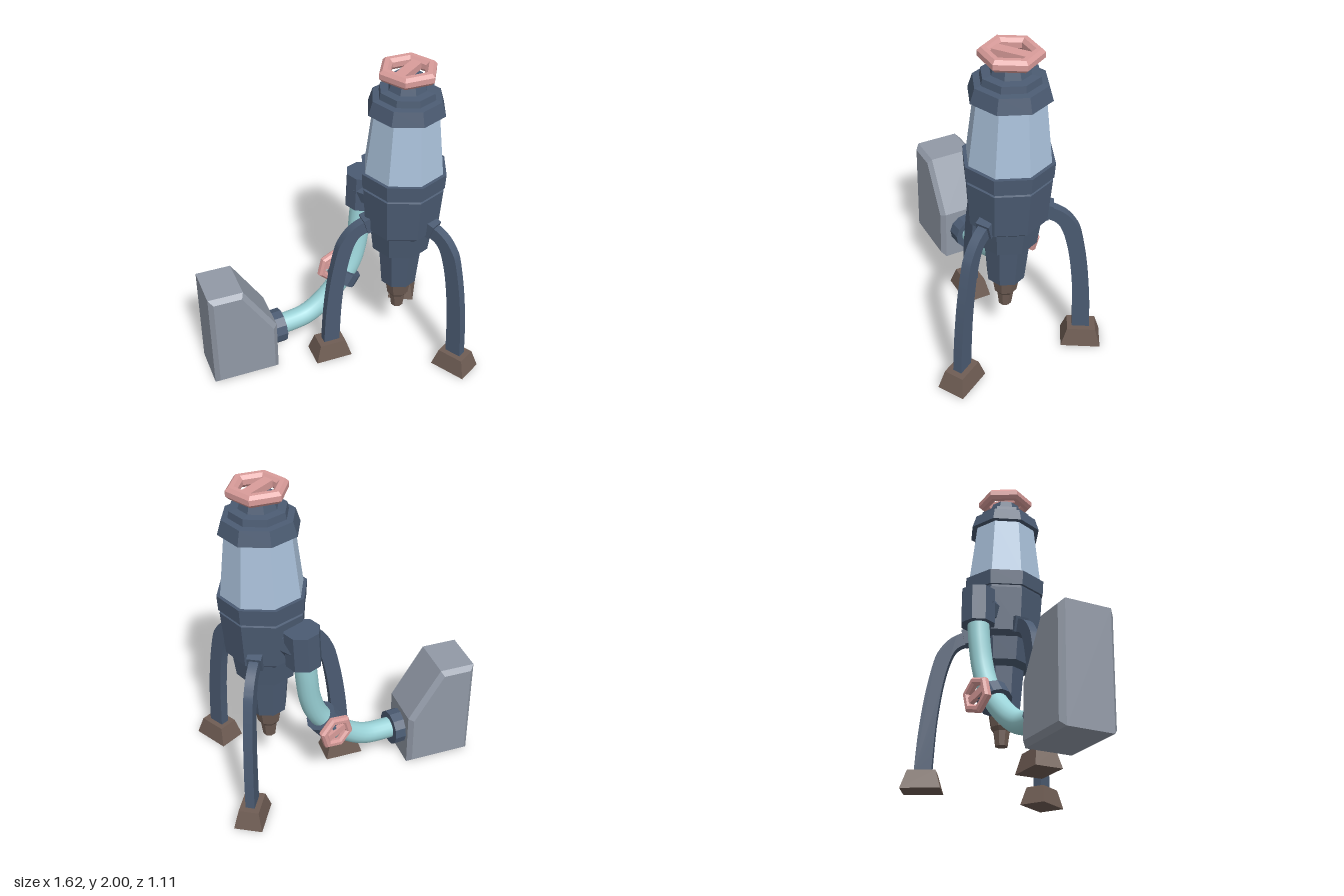
import * as THREE from 'three';

const mat = (name, color) => {
  const m = new THREE.MeshStandardMaterial({ color });
  m.name = name;
  return m;
};
const V = (x, y, z) => new THREE.Vector3(x, y, z);

// Split shared corners so every facet is shaded flat
function flat(geometry) {
  const g = geometry.index ? geometry.toNonIndexed() : geometry;
  g.computeVertexNormals();
  return g;
}

function add(parent, name, geometry, material) {
  const mesh = new THREE.Mesh(geometry, material);
  mesh.name = name;
  parent.add(mesh);
  return mesh;
}

// Faceted solid of revolution from [radius, height] pairs, bottom to top
const turned = (points, sides = 8) =>
  flat(new THREE.LatheGeometry(points.map(([r, y]) => new THREE.Vector2(r, y)), sides));

// Faceted rod between two points
function rod(parent, name, a, b, radius, material, sides = 8) {
  const dir = b.clone().sub(a);
  const mesh = add(parent, name, flat(new THREE.CylinderGeometry(radius, radius, dir.length(), sides)), material);
  mesh.position.copy(a).add(b).multiplyScalar(0.5);
  mesh.quaternion.setFromUnitVectors(V(0, 1, 0), dir.normalize());
  return mesh;
}

// Six-sided handwheel with one crossbar, lying in the XZ plane
function handwheel(name, outer, inner, height, material, barAngle) {
  const group = new THREE.Group();
  group.name = name;
  const h = height / 2, c = height * 0.28;
  const rim = turned([
    [inner + c, -h], [outer - c, -h], [outer, -h + c], [outer, h - c],
    [outer - c, h], [inner + c, h], [inner, h - c], [inner, -h + c], [inner + c, -h],
  ], 6);
  rim.rotateY(Math.PI / 2);
  add(group, 'wheelRim', rim, material);
  const bar = add(group, 'wheelBar', new THREE.BoxGeometry(inner * 2.05, height * 0.6, outer * 0.36), material);
  bar.rotation.y = barAngle;
  return group;
}

export function createModel() {
  const steel = mat('dark steel', 0x4b5b72);
  const glass = mat('pale glass', 0xa9c0d9);
  const teal = mat('teal hose', 0x9bd3d8);
  const pink = mat('pink wheel', 0xd99c9a);
  const brown = mat('brown metal', 0x6f5d54);
  const grey = mat('grey casing', 0x9199a6);

  const model = new THREE.Group();
  model.name = 'pumpMachine';

  // Octagonal tower
  const tower = new THREE.Group();
  tower.name = 'tower';
  tower.position.x = 0.44;
  model.add(tower);
  add(tower, 'nozzle', turned([
    [0, 0.27], [0.04, 0.27], [0.052, 0.36], [0.07, 0.385], [0.088, 0.49], [0, 0.49],
  ]), brown);
  add(tower, 'lowerBody', turned([
    [0, 0.49], [0.115, 0.49], [0.138, 0.745], [0.182, 0.775], [0.2, 0.92], [0.236, 0.95],
    [0.256, 1.23], [0.245, 1.235], [0.245, 1.25], [0.262, 1.25], [0.267, 1.345], [0, 1.345],
  ]), steel);
  add(tower, 'glassChamber', turned([[0.246, 1.34], [0.2, 1.735]]), glass);
  add(tower, 'cap', turned([
    [0, 1.73], [0.236, 1.73], [0.21, 1.815], [0.172, 1.82], [0.165, 1.86],
    [0.115, 1.865], [0.09, 1.94], [0, 1.94],
  ]), steel);
  const topWheel = handwheel('topWheel', 0.177, 0.108, 0.07, pink, Math.PI / 5);
  topWheel.position.y = 1.965;
  tower.add(topWheel);

  // Curved leg outline: x is the distance from the tower axis
  const outline = new THREE.Shape();
  outline.moveTo(0.2, 1.02);
  outline.splineThru([[0.27, 1.005], [0.34, 0.965], [0.395, 0.9], [0.43, 0.82], [0.475, 0.6], [0.505, 0.35], [0.52, 0.1]]
    .map(([x, y]) => new THREE.Vector2(x, y)));
  outline.lineTo(0.415, 0.1);
  outline.splineThru([[0.4, 0.4], [0.375, 0.62], [0.345, 0.77], [0.31, 0.87], [0.27, 0.915], [0.2, 0.94]]
    .map(([x, y]) => new THREE.Vector2(x, y)));
  const legGeometry = new THREE.ExtrudeGeometry(outline, { depth: 0.056, bevelEnabled: false, curveSegments: 12 });
  legGeometry.translate(0, 0, -0.028);
  const footGeometry = new THREE.CylinderGeometry(0.71 * Math.SQRT1_2, Math.SQRT1_2, 0.115, 4);
  footGeometry.rotateY(Math.PI / 4);
  footGeometry.scale(0.24, 1, 0.172);
  const foot = flat(footGeometry);

  // Three legs around the tower
  for (const angle of [Math.PI, Math.PI / 3, -Math.PI / 3]) {
    const leg = new THREE.Group();
    leg.name = 'leg';
    leg.rotation.y = angle;
    add(leg, 'legStrut', legGeometry, steel);
    add(leg, 'foot', foot, brown).position.set(0.47, 0.0575, 0);
    const collar = add(leg, 'legCollar', new THREE.BoxGeometry(0.05, 0.1, 0.085), steel);
    collar.position.set(0.225, 0.985, 0);
    collar.rotation.z = -0.3;
    tower.add(leg);
  }

  // Outlet elbow behind the tower
  rod(model, 'outletLink', V(0.4, 1.08, -0.08), V(0.285, 1.08, -0.25), 0.105, steel);
  rod(model, 'outletElbow', V(0.282, 0.955, -0.25), V(0.29, 1.185, -0.25), 0.108, steel);

  // Hose sweeping down to the casing
  const path = new THREE.CatmullRomCurve3([
    V(0.28, 1.0, -0.25), V(0.267, 0.85, -0.245), V(0.245, 0.68, -0.23), V(0.205, 0.55, -0.215),
    V(0.142, 0.45, -0.202), V(0.04, 0.34, -0.185), V(-0.06, 0.262, -0.171),
    V(-0.15, 0.222, -0.16), V(-0.36, 0.205, -0.14),
  ]);
  add(model, 'hose', new THREE.TubeGeometry(path, 32, 0.067, 16), teal);
  const ring = V(0.145, 0.452, -0.2);
  const along = V(0.57, 0.81, -0.1).normalize().multiplyScalar(0.042);
  rod(model, 'hoseRing', ring.clone().sub(along), ring.clone().add(along), 0.1, steel, 12);
  rod(model, 'casingCoupler', V(-0.41, 0.205, -0.137), V(-0.31, 0.205, -0.145), 0.11, steel, 12);

  // Side valve on the hose ring
  const normal = V(-0.25, 0, -0.97).normalize();
  const hub = V(0.112, 0.44, -0.322);
  rod(model, 'valveStem', ring, hub, 0.025, steel);
  const sideWheel = handwheel('sideWheel', 0.116, 0.066, 0.05, pink, Math.PI / 5);
  sideWheel.position.copy(hub);
  sideWheel.quaternion.setFromUnitVectors(V(0, 1, 0), normal);
  model.add(sideWheel);

  // Casing with sloped shoulder and chamfered edges
  const b = 0.028;
  const side = new THREE.Shape([
    [-0.782, 0.028], [-0.415, 0.028], [-0.415, 0.345], [-0.605, 0.65], [-0.782, 0.65],
  ].map(([x, y]) => new THREE.Vector2(x, y)));
  const casing = new THREE.ExtrudeGeometry(side, {
    depth: 0.33 - 2 * b, bevelThickness: b, bevelSize: b, bevelSegments: 1,
  });
  casing.translate(0, 0, -0.3 + b);
  add(model, 'casing', casing, grey);

  return model;
}
